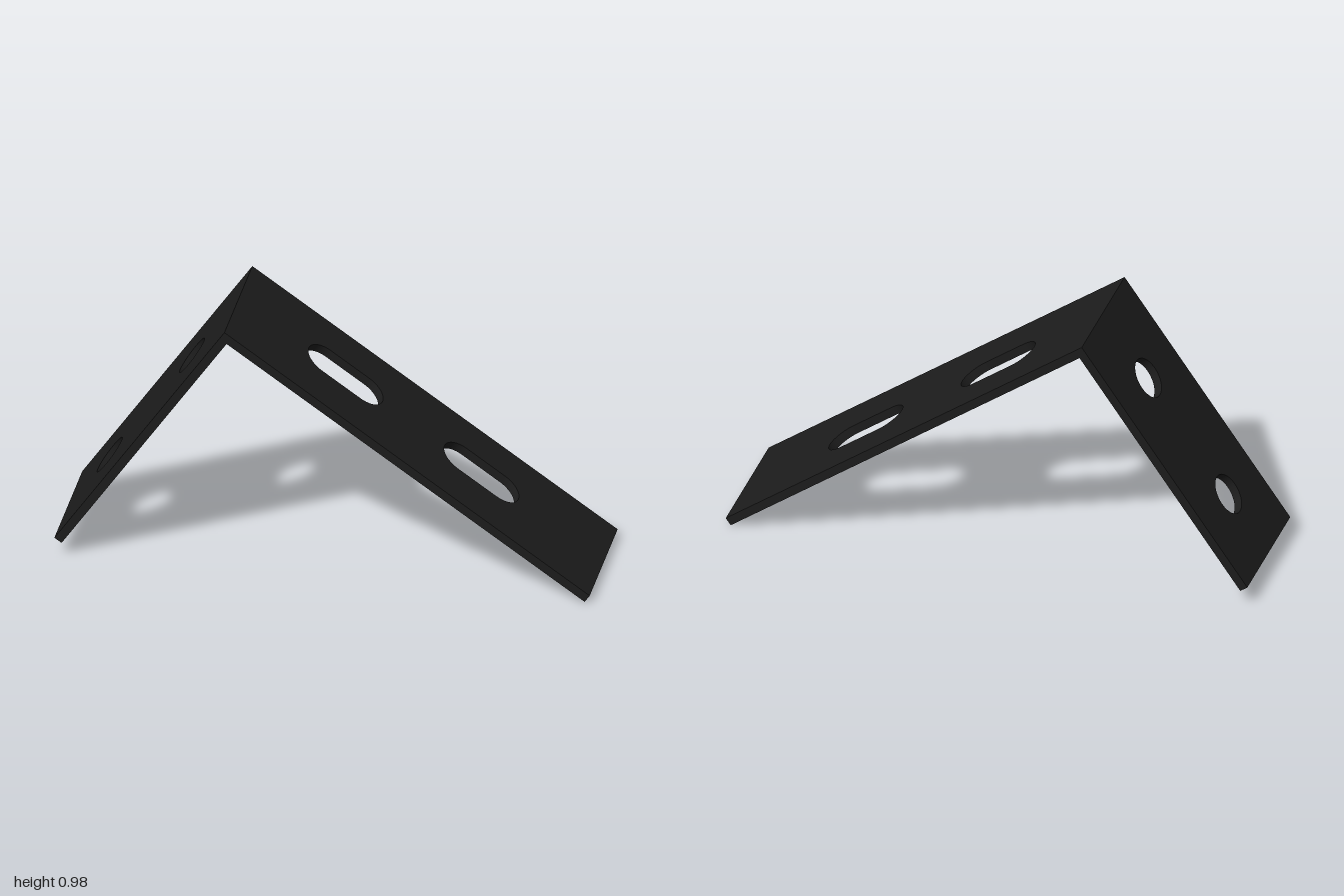
import * as THREE from 'three';

const T = 0.033;          // plate thickness
const HALF = 0.27;        // half of the plate width (along z)
const ANGLE = 0.6095;     // tilt of the long leg below horizontal
const APEX = new THREE.Vector3(-0.365, 0.98, 0);

// Rounded hole centred at (s, w): a slot of the given length, or a circle when length = 2r
function slot(s, w, length, r) {
  const h = Math.max(length / 2 - r, 0);
  const p = new THREE.Path();
  p.absarc(s + h, w, r, -Math.PI / 2, Math.PI / 2, false);
  p.absarc(s - h, w, r, Math.PI / 2, Math.PI * 1.5, false);
  p.closePath();
  return p;
}

// Flat leg running from the bend along dir, its outer face on the side of out
function leg(name, start, end, dir, out, holes, material) {
  const shape = new THREE.Shape();
  shape.moveTo(start, -HALF).lineTo(end, -HALF).lineTo(end, HALF).lineTo(start, HALF).closePath();
  shape.holes.push(...holes);
  const geometry = new THREE.ExtrudeGeometry(shape, { depth: T, bevelEnabled: false, curveSegments: 20 });
  const across = new THREE.Vector3().crossVectors(out, dir);
  const matrix = new THREE.Matrix4().makeBasis(dir, across, out);
  matrix.setPosition(APEX.clone().addScaledVector(out, -T));
  geometry.applyMatrix4(matrix);
  const mesh = new THREE.Mesh(geometry, material);
  mesh.name = name;
  return mesh;
}

export function createModel() {
  const group = new THREE.Group();
  group.name = 'angleBracket';
  const material = new THREE.MeshStandardMaterial({ color: 0x1c1c1c });
  const c = Math.cos(ANGLE), s = Math.sin(ANGLE);

  // Long leg with two slots (its shape's second axis points to -z)
  group.add(leg('longLeg', 0, 1.665,
    new THREE.Vector3(c, -s, 0), new THREE.Vector3(s, c, 0),
    [0.486, 1.105].map((d) => slot(d, 0.014, 0.337, 0.082)), material));

  // Short leg at a right angle, with two round holes
  group.add(leg('shortLeg', T, 1.11,
    new THREE.Vector3(-s, -c, 0), new THREE.Vector3(-c, s, 0),
    [0.303, 0.84].map((d) => slot(d, 0, 0.156, 0.078)), material));

  return group;
}
